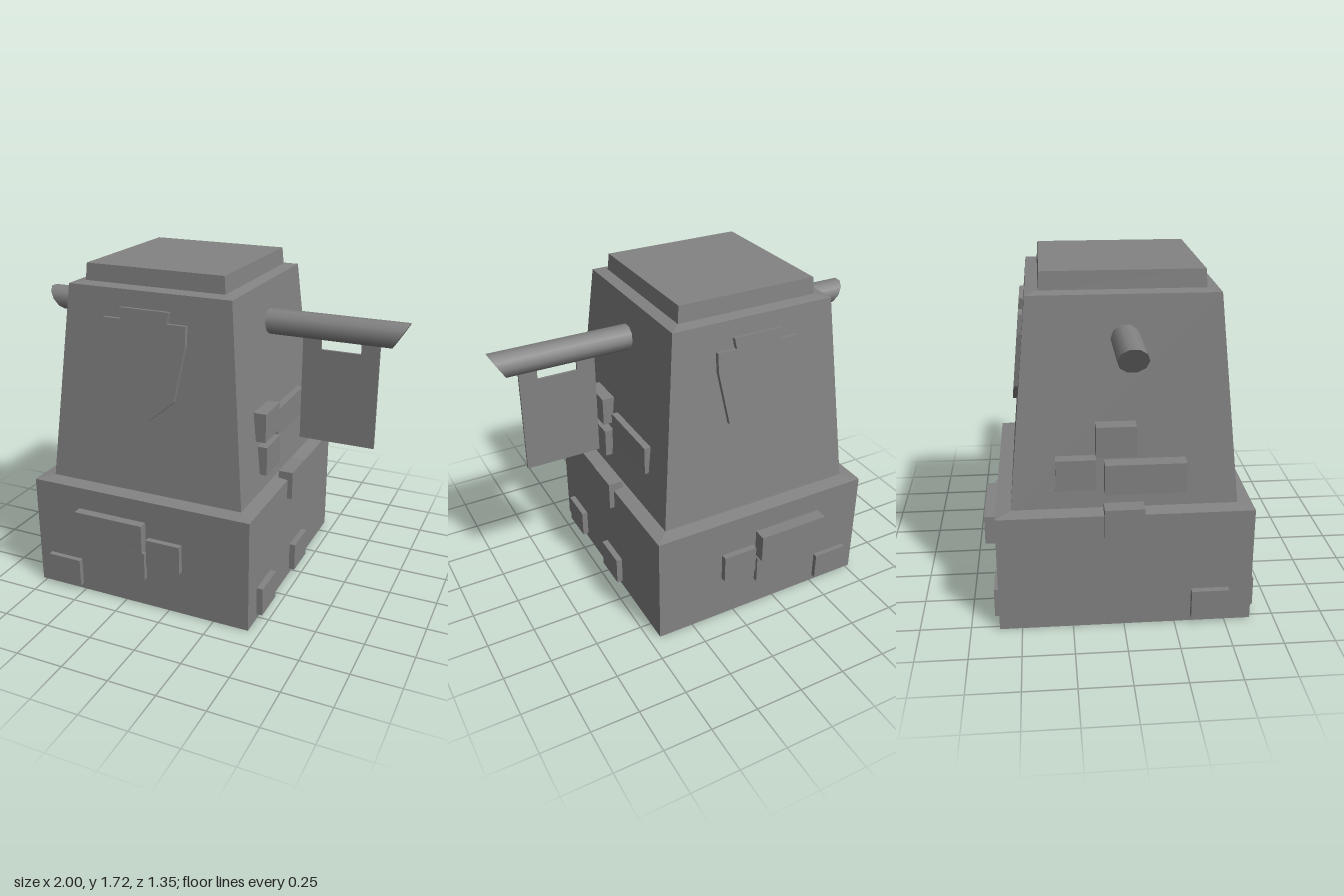
import * as THREE from 'three';

const CX = -0.167, CZ = 0.01; // axis of the tower
const stone = new THREE.MeshStandardMaterial({ color: 0x838383, flatShading: true, side: THREE.DoubleSide });
const smooth = new THREE.MeshStandardMaterial({ color: 0x838383, side: THREE.DoubleSide });

function add(parent, name, geometry, material = stone) {
  const mesh = new THREE.Mesh(geometry, material);
  mesh.name = name;
  parent.add(mesh);
  return mesh;
}

// Box given by its lower and upper corners
function block(parent, name, [x0, x1], [y0, y1], [z0, z1]) {
  const mesh = add(parent, name, new THREE.BoxGeometry(x1 - x0, y1 - y0, z1 - z0));
  mesh.position.set((x0 + x1) / 2, (y0 + y1) / 2, (z0 + z1) / 2);
}

// Rectangular shell through rings of [y, half width, half depth], open below and closed on top
function shell(rings) {
  const p = [];
  const corner = ([y, w, d], i) => [
    CX + (i % 4 === 1 || i % 4 === 2 ? w : -w), y, CZ + (i % 4 < 2 ? d : -d)];
  const quad = (a, b, c, d) => p.push(...a, ...b, ...c, ...a, ...c, ...d);
  for (let r = 0; r < rings.length - 1; r++) {
    for (let i = 0; i < 4; i++) {
      const lo = rings[r], hi = rings[r + 1];
      quad(corner(lo, i), corner(lo, i + 1), corner(hi, i + 1), corner(hi, i));
    }
  }
  const top = rings[rings.length - 1];
  quad(corner(top, 0), corner(top, 1), corner(top, 2), corner(top, 3));
  const g = new THREE.BufferGeometry();
  g.setAttribute('position', new THREE.Float32BufferAttribute(p, 3));
  g.computeVertexNormals();
  return g;
}

function polygon(points) {
  return new THREE.Shape(points.map(([x, y]) => new THREE.Vector2(x, y)));
}

export function createModel() {
  const model = new THREE.Group();
  model.name = 'tower';

  // Hollow base, ledge, tapered tower, and cap
  add(model, 'towerWalls', shell([
    [0, 0.607, 0.62], [0.6, 0.607, 0.62], [0.61, 0.533, 0.545],
    [1.625, 0.438, 0.448], [1.634, 0.378, 0.388], [1.72, 0.371, 0.382],
  ]));

  // Shields lying on the sloping front and back walls
  const half = [[0.134, 0.543], [0.124, 0.487], [0.225, 0.487], [0.225, 0.39], [0.172, 0.108], [0.043, 0]];
  const outline = [...half, ...half.map(([x, y]) => [-x, y]).reverse()];
  const shieldGeometry = new THREE.ExtrudeGeometry(polygon(outline), { depth: 0.035, bevelEnabled: false });
  shieldGeometry.translate(0, 0, -0.015);
  for (const side of [1, -1]) {
    const mount = new THREE.Group();
    mount.name = side > 0 ? 'frontShieldMount' : 'backShieldMount';
    mount.position.set(-0.176, 1.0, CZ + side * 0.51);
    mount.rotation.y = side > 0 ? 0 : Math.PI;
    add(mount, 'shield', shieldGeometry).rotation.x = -0.094;
    model.add(mount);
  }

  // Crossing pole with slanted ends
  const pole = new THREE.CylinderGeometry(1, 1, 2, 10);
  pole.rotateZ(Math.PI / 2);
  const { position, normal } = pole.attributes;
  for (let i = 0; i < position.count; i++) {
    const y = position.getY(i), end = Math.sign(position.getX(i));
    position.setXYZ(i, end * (0.9625 + 0.0395 * y), y * 0.065, position.getZ(i) * 0.07);
    if (Math.abs(normal.getX(i)) > 0.5) normal.setXYZ(i, end * 0.855, -0.519, 0);
  }
  add(model, 'pole', pole, smooth).position.set(0, 1.424, 0.016);

  // Banner hanging from two tabs
  const banner = polygon([[0.47, 0.82], [0.863, 0.82], [0.863, 1.39], [0.77, 1.39],
    [0.77, 1.307], [0.565, 1.307], [0.565, 1.39], [0.47, 1.39]]);
  add(model, 'banner', new THREE.ExtrudeGeometry(banner, { depth: 0.012, bevelEnabled: false })).position.z = 0.009;

  // Raised bricks on the front and back of the base:
  // x range, y range, projection in front, projection behind, depth into the hollow
  const faceBricks = [
    [[-0.513, -0.125], [0.331, 0.482], 0.047, 0.067, 0.09],
    [[-0.315, -0.125], [0.163, 0.316], 0.025, 0.025, 0.045],
    [[-0.11, 0.077], [0.248, 0.4], 0.03, 0.032, 0.045],
    [[-0.705, -0.515], [0.03, 0.181], 0.028, 0.025, 0.03],
  ];
  for (const [x, y, front, back, inside] of faceBricks) {
    block(model, 'frontBrick', x, y, [CZ + 0.62 - inside, CZ + 0.62 + front]);
    block(model, 'backBrick', x, y, [CZ - 0.62 - back, CZ - 0.62 + inside]);
  }

  // Raised bricks on the sides: x range, y range, z range
  const leftBricks = [
    [[0.28, 0.392], [0.884, 1.035], [0.122, 0.313]],
    [[0.27, 0.367], [0.823, 0.973], [-0.32, 0.068]],
    [[0.29, 0.394], [0.699, 0.85], [0.104, 0.294]],
    [[0.39, 0.467], [0.494, 0.645], [-0.087, 0.104]],
    [[0.408, 0.472], [0.03, 0.183], [0.33, 0.519]],
    [[0.408, 0.472], [0.03, 0.183], [-0.153, 0.038]],
  ];
  const rightBricks = [
    [[-0.737, -0.62], [0.884, 1.035], [-0.13, 0.06]],
    [[-0.753, -0.64], [0.699, 0.85], [-0.09, 0.297]],
    [[-0.737, -0.64], [0.72, 0.873], [-0.32, -0.13]],
    [[-0.807, -0.725], [0.494, 0.645], [-0.095, 0.095]],
    [[-0.807, -0.74], [0.03, 0.183], [0.33, 0.515]],
  ];
  for (const b of leftBricks) block(model, 'leftBrick', ...b);
  for (const b of rightBricks) block(model, 'rightBrick', ...b);

  return model;
}
